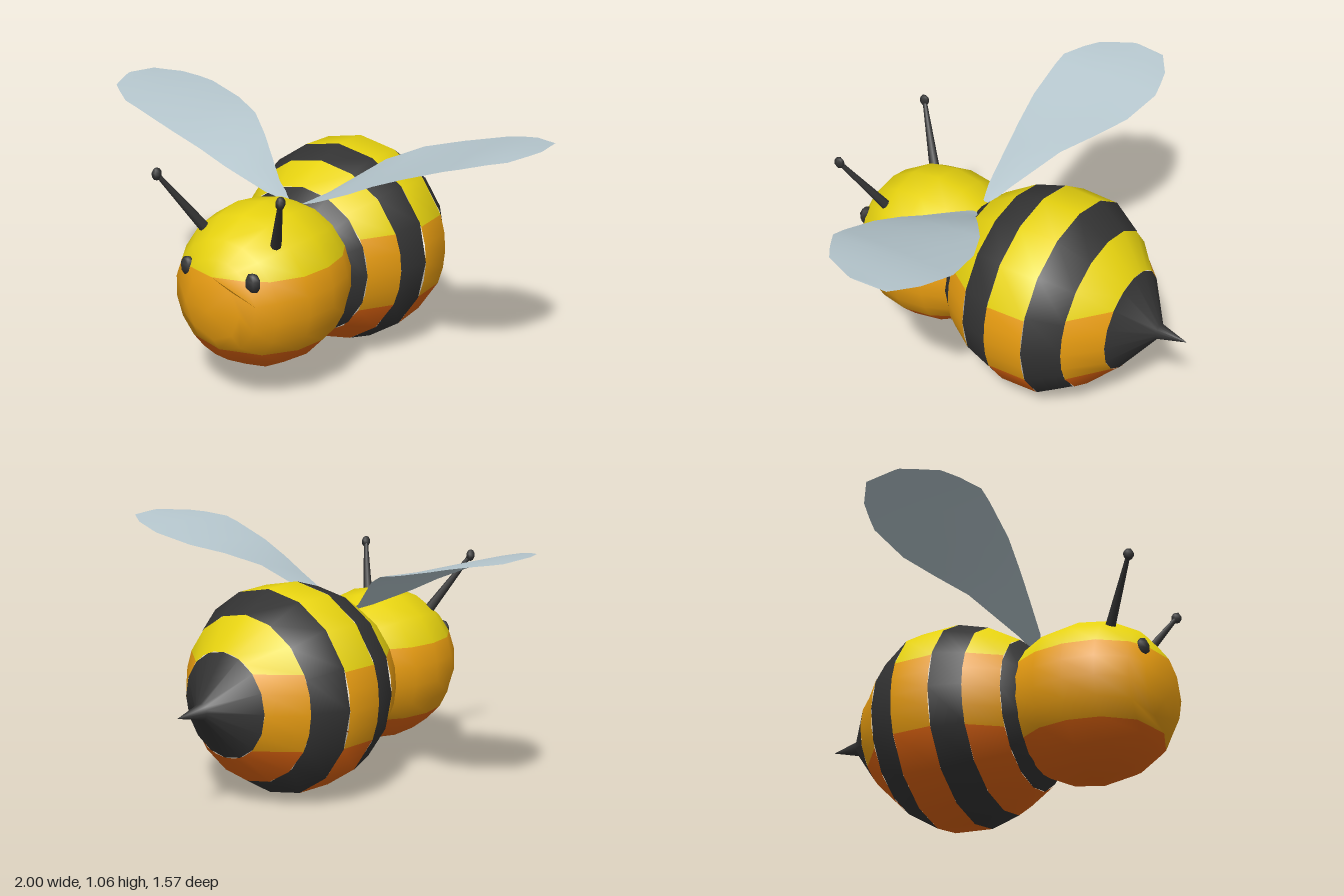
import * as THREE from 'three';

const CY = 0.435; // height of the body axis

function mat(name, color, side = THREE.FrontSide) {
  const m = new THREE.MeshStandardMaterial({ color, side });
  m.name = name;
  return m;
}

// Outward normal (z, radius) of a profile at ring i
function profileNormal(profile, i) {
  const a = profile[Math.max(i - 1, 0)], b = profile[Math.min(i + 1, profile.length - 1)];
  const dz = b[0] - a[0], dr = b[1] - a[1], l = Math.hypot(dz, dr);
  if (profile[i][1] === 0 && i === 0) return [1, 0];
  return [dr / l, -dz / l];
}

// Grid of quads over rows of points
function gridIndex(rows, cols) {
  const index = [];
  for (let i = 0; i < rows - 1; i++) {
    for (let j = 0; j < cols - 1; j++) {
      const a = i * cols + j, c = a + cols;
      index.push(a, c, a + 1, a + 1, c, c + 1);
    }
  }
  return index;
}

// Part of a solid of revolution about z: rings from..to, arc(r) gives start and end angles
function arcBand(profile, from, to, arc, steps) {
  const pos = [], nor = [];
  for (let i = from; i <= to; i++) {
    const [z, r] = profile[i];
    const [nz, nr] = profileNormal(profile, i);
    const [t0, t1] = arc(r);
    for (let j = 0; j <= steps; j++) {
      const t = t0 + (t1 - t0) * j / steps, c = Math.cos(t), s = Math.sin(t);
      pos.push(r * c, CY + r * s, z);
      nor.push(nr * c, nr * s, nz);
    }
  }
  const g = new THREE.BufferGeometry();
  g.setAttribute('position', new THREE.Float32BufferAttribute(pos, 3));
  g.setAttribute('normal', new THREE.Float32BufferAttribute(nor, 3));
  g.setIndex(gridIndex(to - from + 1, steps + 1));
  return g;
}

export function createModel() {
  const model = new THREE.Group();
  model.name = 'bee';
  const yellow = mat('yellow', 0xe6d20f);
  const amber = mat('amber', 0xe69b10);
  const rust = mat('rust orange', 0xdc620f);
  const black = mat('black', 0x333333);
  const wingGrey = mat('wing grey', 0xb6c7ce, THREE.DoubleSide);

  function add(parent, name, geometry, material) {
    const mesh = new THREE.Mesh(geometry, material);
    mesh.name = name;
    parent.add(mesh);
    return mesh;
  }

  // Yellow top, amber flanks and rust underside, cut at two heights
  function shadedBand(parent, name, profile, from, to, high, low) {
    const angle = (h, r) => r < 1e-6 ? Math.sign(h) * Math.PI / 2
      : Math.asin(THREE.MathUtils.clamp(h / r, -1, 1));
    const hi = r => angle(high - CY, r), lo = r => angle(low - CY, r);
    const PI = Math.PI;
    const parts = [
      ['Top', yellow, r => [hi(r), PI - hi(r)], 6],
      ['LeftFlank', amber, r => [lo(r), hi(r)], 4],
      ['RightFlank', amber, r => [PI - hi(r), PI - lo(r)], 4],
      ['Underside', rust, r => [PI - lo(r), 2 * PI + lo(r)], 6],
    ];
    for (const [suffix, material, arc, steps] of parts) {
      add(parent, name + suffix, arcBand(profile, from, to, arc, steps), material);
    }
  }

  // Head: rings of [z, radius]
  const head = new THREE.Group();
  head.name = 'head';
  model.add(head);
  const headProfile = [[0.785, 0], [0.757, 0.13], [0.72, 0.185], [0.67, 0.25],
    [0.555, 0.315], [0.425, 0.335], [0.3, 0.317], [0.2, 0.268]];
  shadedBand(head, 'head', headProfile, 0, headProfile.length - 1, 0.565, 0.25);

  // Abdomen with alternating stripes and a pointed sting
  const abdomen = new THREE.Group();
  abdomen.name = 'abdomen';
  model.add(abdomen);
  const bodyProfile = [[0.21, 0.268], [0.16, 0.317], [0.03, 0.395], [-0.1, 0.433],
    [-0.27, 0.426], [-0.405, 0.343], [-0.53, 0.215], [-0.66, 0.033], [-0.785, 0]];
  const fullRing = () => [Math.PI / 2, Math.PI * 2.5];
  for (const i of [0, 2, 4]) {
    add(abdomen, 'blackStripe', arcBand(bodyProfile, i, i + 1, fullRing, 16), black);
    shadedBand(abdomen, 'paleStripe', bodyProfile, i + 1, i + 2, 0.585, 0.275);
  }
  add(abdomen, 'sting', arcBand(bodyProfile, 6, 8, fullRing, 16), black);

  // Wing cross-sections: x, front edge z and y, back edge z and y
  const wingSections = [
    [0.04, 0.225, 0.705, 0.19, 0.705], [0.12, 0.252, 0.735, 0.15, 0.75],
    [0.3, 0.28, 0.815, 0.01, 0.885], [0.42, 0.295, 0.875, -0.085, 0.935],
    [0.56, 0.312, 0.935, -0.155, 0.965], [0.735, 0.313, 1.0, -0.19, 1.005],
    [0.8, 0.31, 1.02, -0.177, 1.02], [0.88, 0.257, 1.037, -0.155, 1.035],
    [0.94, 0.21, 1.045, -0.115, 1.043], [0.985, 0.105, 1.054, -0.085, 1.05],
    [1.0, 0.065, 1.057, 0.045, 1.057],
  ];

  function wing(side) {
    const pos = [], cols = 5;
    for (const [x, zf, yf, zb, yb] of wingSections) {
      for (let j = 0; j < cols; j++) {
        const t = j / (cols - 1);
        const camber = 0.07 * (zf - zb) * t * (1 - t);
        pos.push(side * x, yf + (yb - yf) * t + camber, zf + (zb - zf) * t);
      }
    }
    const g = new THREE.BufferGeometry();
    g.setAttribute('position', new THREE.Float32BufferAttribute(pos, 3));
    const index = gridIndex(wingSections.length, cols);
    // Keep the upper face as the front on both sides
    if (side > 0) index.reverse();
    g.setIndex(index);
    g.computeVertexNormals();
    const n = g.attributes.normal;
    if (n.getY(12) < 0) {
      g.setIndex(index.slice().reverse());
      g.computeVertexNormals();
    }
    return g;
  }

  for (const side of [1, -1]) {
    const word = side > 0 ? 'left' : 'right';
    add(model, word + 'Wing', wing(side), wingGrey);

    // Eye
    const eye = add(head, word + 'Eye', new THREE.SphereGeometry(1, 6, 5), black);
    eye.scale.set(0.036, 0.04, 0.026);
    eye.position.set(side * 0.156, 0.558, 0.703);

    // Tapered antenna with a knob at the tip
    const base = new THREE.Vector3(side * 0.172, 0.672, 0.577);
    const tip = new THREE.Vector3(side * 0.292, 0.905, 0.708);
    const dir = tip.clone().sub(base);
    const stalk = add(head, word + 'Antenna',
      new THREE.CylinderGeometry(0.009, 0.022, dir.length(), 8), black);
    stalk.position.copy(base).addScaledVector(dir, 0.5);
    stalk.quaternion.setFromUnitVectors(new THREE.Vector3(0, 1, 0), dir.normalize());
    const knob = add(head, word + 'AntennaKnob', new THREE.SphereGeometry(1, 6, 5), black);
    knob.scale.set(0.018, 0.026, 0.023);
    knob.position.copy(tip);
  }
  return model;
}
